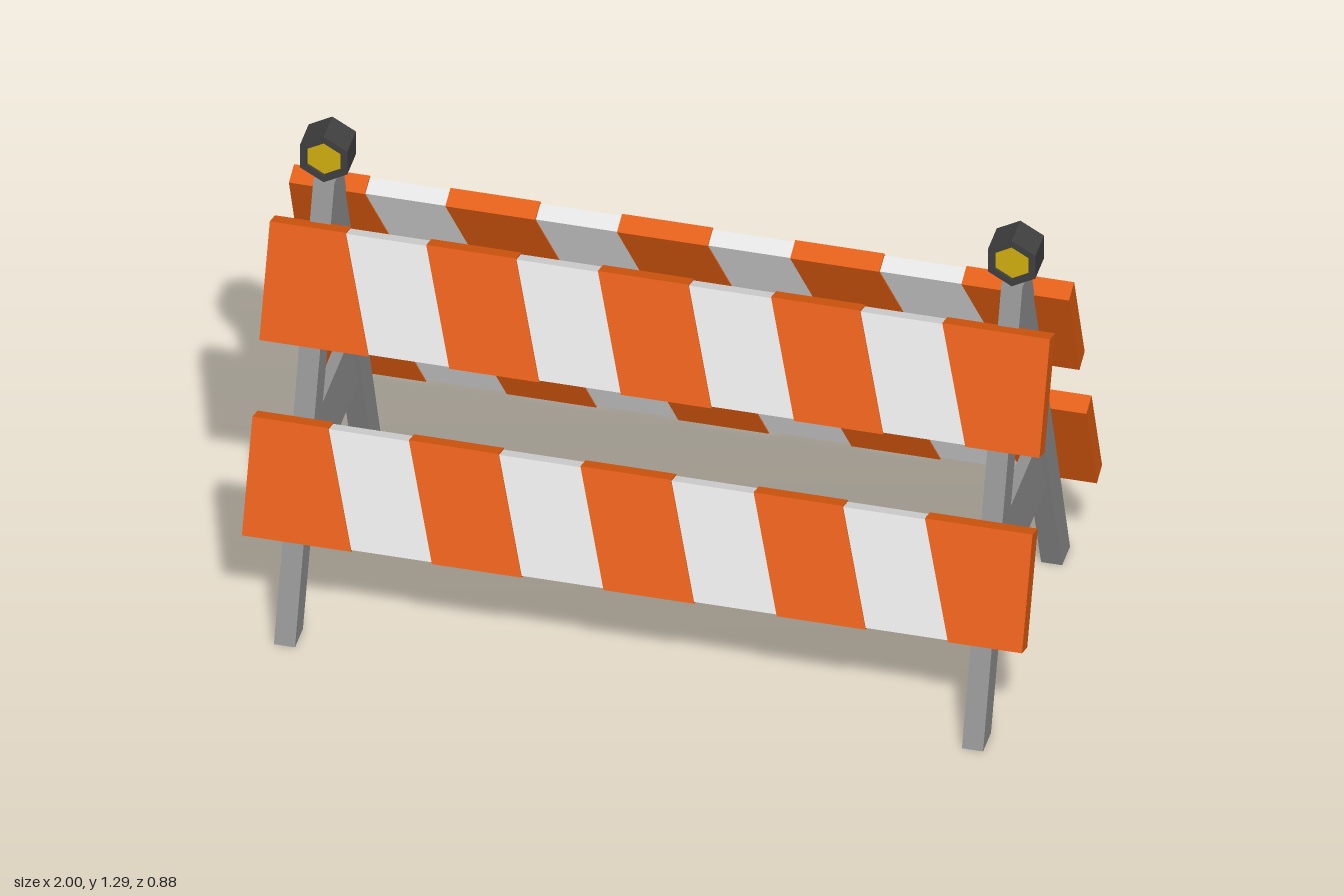
import * as THREE from 'three';

const material = (name, color) => {
  const m = new THREE.MeshStandardMaterial({ color });
  m.name = name;
  return m;
};

// Flat outline extruded symmetrically about its own plane
function plate(points, depth, hole) {
  const shape = new THREE.Shape(points.map(([x, y]) => new THREE.Vector2(x, y)));
  if (hole) shape.holes.push(new THREE.Path(hole.map(([x, y]) => new THREE.Vector2(x, y))));
  const g = new THREE.ExtrudeGeometry(shape, { depth, bevelEnabled: false });
  return g.translate(0, 0, -depth / 2);
}

// Hexagon outline with a corner at the top
const hexagon = (r) => Array.from({ length: 6 }, (_, i) => {
  const a = Math.PI / 2 + (i * Math.PI) / 3;
  return [r * Math.cos(a), r * Math.sin(a)];
});

export function createModel() {
  const orange = material('safety orange', 0xe35d10);
  const white = material('reflective white', 0xe4e4e4);
  const grey = material('leg grey', 0x919191);
  const dark = material('lamp housing dark grey', 0x404040);
  const yellow = material('lens yellow', 0xd4b00f);

  const model = new THREE.Group();
  model.name = 'barricade';
  const add = (parent, name, geometry, mat) => {
    const mesh = new THREE.Mesh(geometry, mat);
    mesh.name = name;
    parent.add(mesh);
    return mesh;
  };

  // A-frames: legs, upper gusset and lower brace, outlined in the z-y plane
  const legZ = (y) => 0.36 * (1 - y);
  const legs = plate([
    [0.44, 0], [0.042, 1.15], [-0.042, 1.15], [-0.44, 0],
    [-0.36, 0], [0, 1], [0.36, 0],
  ], 0.054).rotateY(Math.PI / 2);
  const gusset = plate([
    [-legZ(0.805), 0.805], [legZ(0.805), 0.805], [0, 1],
  ], 0.03).rotateY(Math.PI / 2);
  const brace = plate([
    [-legZ(0.32), 0.32], [legZ(0.32), 0.32], [legZ(0.52), 0.52], [-legZ(0.52), 0.52],
  ], 0.03).rotateY(Math.PI / 2);

  // Lamp: hexagonal housing with a recessed lens at each end
  const housing = plate(hexagon(0.07), 0.088, hexagon(0.05));
  const lens = plate(hexagon(0.05), 0.072);

  for (const side of [1, -1]) {
    const frame = new THREE.Group();
    frame.name = side > 0 ? 'leftFrame' : 'rightFrame';
    frame.position.x = side * 0.882;
    add(frame, 'legs', legs, grey);
    add(frame, 'gusset', gusset, grey);
    add(frame, 'brace', brace, grey);

    const lamp = new THREE.Group();
    lamp.name = 'warningLamp';
    lamp.position.y = 1.22;
    add(lamp, 'lampHousing', housing, dark);
    add(lamp, 'lampLens', lens, yellow);
    frame.add(lamp);
    model.add(frame);
  }

  // Boards: white core wrapped by slanted orange stripes
  const h = 0.155;
  const slant = 0.043;
  const core = new THREE.BoxGeometry(1.99, 2 * h - 0.007, 0.049);
  const edges = [[-1, -0.763], [-0.556, -0.326], [-0.116, 0.116], [0.328, 0.556], [0.767, 1]];
  const stripes = edges.map(([a, b]) => {
    const sa = a === -1 ? 0 : slant;
    const sb = b === 1 ? 0 : slant;
    return plate([[a + sa, -h], [b + sb, -h], [b - sb, h], [a - sa, h]], 0.056);
  });

  for (const side of [1, -1]) {
    for (const [level, y, z] of [['upper', 0.909, 0.1495], ['lower', 0.431, 0.3255]]) {
      const board = new THREE.Group();
      board.name = `${level}${side > 0 ? 'Front' : 'Back'}Board`;
      board.position.set(0, y, side * z);
      board.rotation.x = -side * THREE.MathUtils.degToRad(20);
      add(board, 'boardCore', core, white);
      stripes.forEach((g) => add(board, 'stripe', g, orange));
      model.add(board);
    }
  }
  return model;
}
